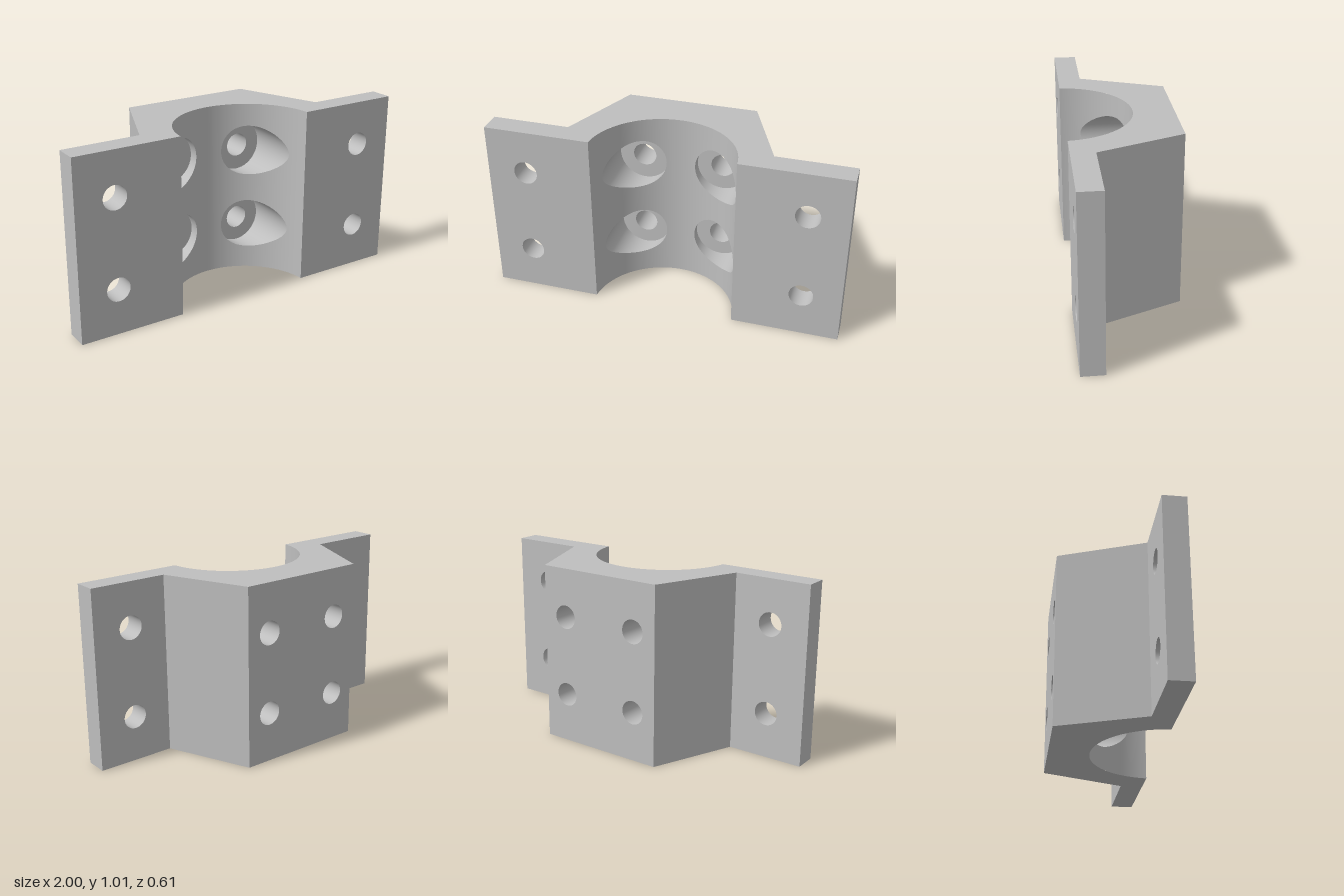
import * as THREE from 'three';
import { mergeGeometries } from 'three/addons/utils/BufferGeometryUtils.js';
import { ParametricGeometry } from 'three/addons/geometries/ParametricGeometry.js';

const H = 1.01, FRONT = 0.303, STEP = 0.173, BACK = -0.303;
const FOOT = 0.565, TOP = 0.373;             // half widths of the raised block
const R = 0.402, AXIS = 0.327;               // channel radius and its axis depth
const MOUTH = Math.sqrt(R * R - (AXIS - FRONT) ** 2);
const HOLE = 0.067, BORE = 0.147, FLOOR = -0.125;
const FLANGE_X = 0.78, FLANGE_Y = [0.255, 0.76];
const BORE_X = 0.23, BORE_Y = [0.28, 0.735];

const channelZ = (x) => AXIS - Math.sqrt(Math.max(0, R * R - x * x));
const surface = (fn, nu, nv = 1) => new ParametricGeometry((u, v, p) => p.set(...fn(u, v)), nu, nv);

// Flat face toward +z (or -z when back) with round holes
function panel(x0, x1, z, back, holes) {
  const m = back ? -1 : 1;
  const shape = new THREE.Shape([[x0, 0], [x1, 0], [x1, H], [x0, H]].map(([x, y]) => new THREE.Vector2(m * x, y)));
  for (const [x, y] of holes) {
    shape.holes.push(new THREE.Path().absarc(m * x, y, HOLE, 0, Math.PI * 2, true));
  }
  const g = new THREE.ShapeGeometry(shape, 24);
  if (back) g.rotateY(Math.PI);
  return g.translate(0, 0, z);
}

// Upright wall between two plan points
const wall = (x0, z0, x1, z1) => surface((u, v) => [x0 + (x1 - x0) * u, v * H, z0 + (z1 - z0) * u], 1);

// Inward-facing round wall, its front end following zEnd(x)
const tube = (cx, cy, r, z0, zEnd) => surface((u, v) => {
  const a = -u * Math.PI * 2, x = cx + r * Math.cos(a);
  return [x, cy + r * Math.sin(a), z0 + (zEnd(x) - z0) * v];
}, 48);

// End cap of the whole section
function cap(up) {
  const pts = [[-MOUTH, FRONT], [-1, FRONT], [-1, STEP], [-FOOT, STEP], [-TOP, BACK],
    [TOP, BACK], [FOOT, STEP], [1, STEP], [1, FRONT], [MOUTH, FRONT]];
  const a = Math.asin(MOUTH / R);
  for (let i = 1; i < 64; i++) {
    const t = a - 2 * a * i / 64;
    pts.push([R * Math.sin(t), AXIS - R * Math.cos(t)]);
  }
  const g = new THREE.ShapeGeometry(new THREE.Shape(pts.map(([x, z]) => new THREE.Vector2(x, up ? -z : z))));
  return g.rotateX(up ? -Math.PI / 2 : Math.PI / 2).translate(0, up ? H : 0, 0);
}

// Curved channel, split into bands around the counterbore openings
function channel() {
  const parts = [];
  const inner = BORE_X - BORE, outer = BORE_X + BORE;
  for (const [a, b] of [[-MOUTH, -outer], [-inner, inner], [outer, MOUTH]]) {
    const t0 = Math.asin(a / R), t1 = Math.asin(b / R);
    parts.push(surface((u, v) => {
      const x = R * Math.sin(t0 + (t1 - t0) * u);
      return [x, v * H, channelZ(x)];
    }, 12));
  }
  for (const cx of [-BORE_X, BORE_X]) {
    const edges = [() => 0, (h) => BORE_Y[0] - h, (h) => BORE_Y[0] + h,
      (h) => BORE_Y[1] - h, (h) => BORE_Y[1] + h, () => H];
    for (let i = 0; i < 6; i += 2) {
      parts.push(surface((u, v) => {
        const x = cx - BORE * Math.cos(u * Math.PI), h = BORE * Math.sin(u * Math.PI);
        const lo = edges[i](h), hi = edges[i + 1](h);
        return [x, lo + (hi - lo) * v, channelZ(x)];
      }, 24));
    }
  }
  return parts;
}

export function createModel() {
  const group = new THREE.Group();
  const steel = new THREE.MeshStandardMaterial({ color: 0xbebebe });
  steel.name = 'steelGrey';
  const add = (name, parts) => {
    const mesh = new THREE.Mesh(mergeGeometries(parts), steel);
    mesh.name = name;
    group.add(mesh);
  };

  // Flanges with their through holes
  for (const s of [1, -1]) {
    const holes = FLANGE_Y.map((y) => [s * FLANGE_X, y]);
    const span = (a, b) => (s > 0 ? [a, b] : [-b, -a]);
    add(s > 0 ? 'leftFlange' : 'rightFlange', [
      panel(...span(MOUTH, 1), FRONT, false, holes),
      panel(...span(FOOT, 1), STEP, true, holes),
      s > 0 ? wall(1, FRONT, 1, STEP) : wall(-1, STEP, -1, FRONT),
      ...holes.map(([x, y]) => tube(x, y, HOLE, STEP, () => FRONT)),
    ]);
  }

  // Raised block: back face and sloping sides
  const bores = [-BORE_X, BORE_X].flatMap((x) => BORE_Y.map((y) => [x, y]));
  add('block', [
    panel(-TOP, TOP, BACK, true, bores),
    wall(FOOT, STEP, TOP, BACK),
    wall(-TOP, BACK, -FOOT, STEP),
  ]);
  add('endFaces', [cap(true), cap(false)]);
  add('channel', channel());

  // Counterbored bolt holes
  for (const [x, y] of bores) {
    add('counterbore', [
      tube(x, y, BORE, FLOOR, channelZ),
      new THREE.RingGeometry(HOLE, BORE, 48).translate(x, y, FLOOR),
      tube(x, y, HOLE, BACK, () => FLOOR),
    ]);
  }
  return group;
}
